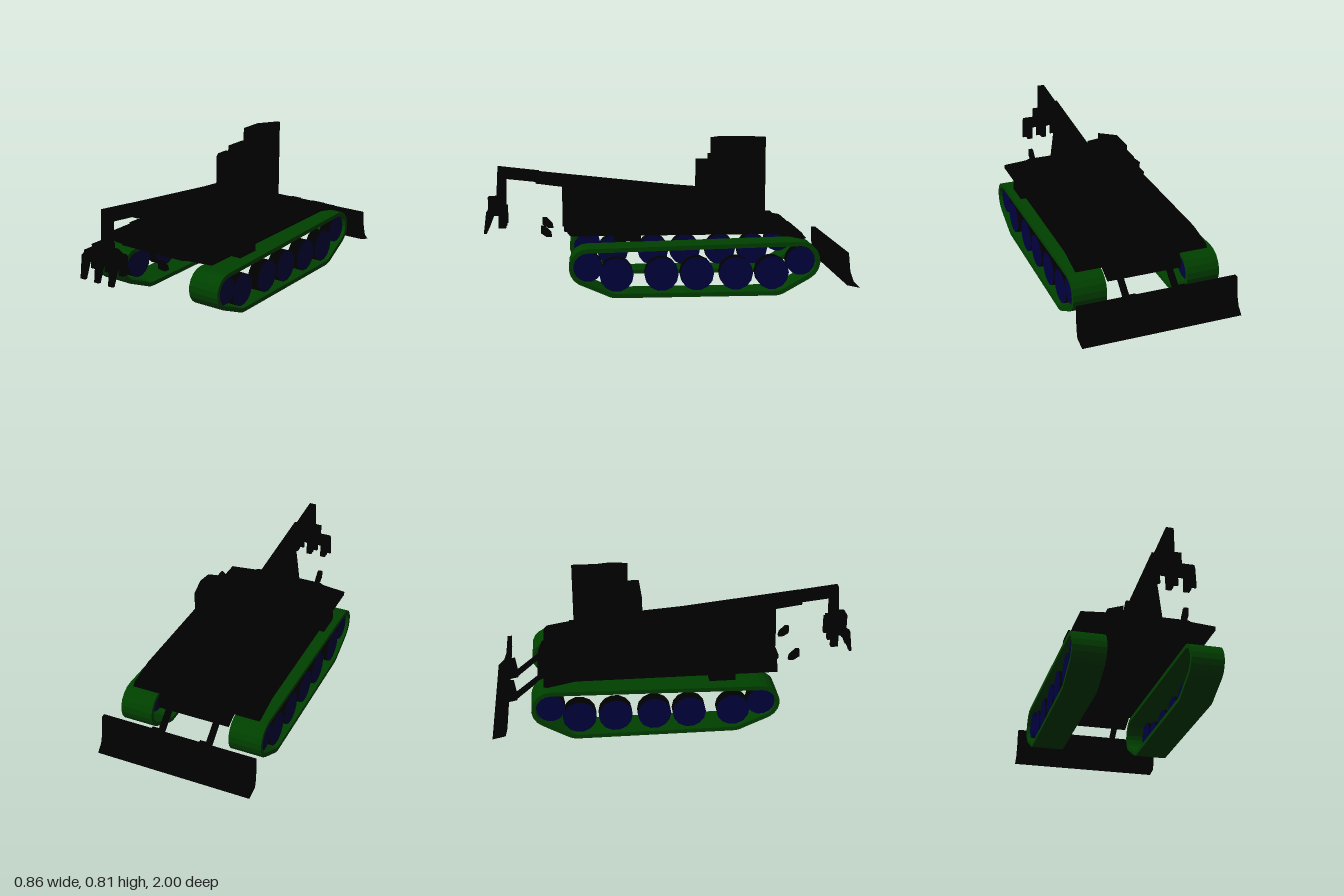
import * as THREE from 'three';

const mat = (name, color) => {
  const m = new THREE.MeshStandardMaterial({ color });
  m.name = name;
  m.flatShading = true;
  return m;
};

export function createModel() {
  const root = new THREE.Group();
  const black = mat('black body', 0x000000);
  const green = mat('green track', 0x004000);
  const blue = mat('blue wheel', 0x000040);

  const add = (name, geo, m = black) => {
    const mesh = new THREE.Mesh(geo, m);
    mesh.name = name;
    root.add(mesh);
    return mesh;
  };
  const box = (name, x0, x1, y0, y1, z0, z1) =>
    add(name, new THREE.BoxGeometry(x1 - x0, y1 - y0, z1 - z0)
      .translate((x0 + x1) / 2, (y0 + y1) / 2, (z0 + z1) / 2));
  const toShape = pts => new THREE.Shape(pts.map(p => new THREE.Vector2(...p)));
  // side profile given as (z, y), extruded across x0..x1
  const side = (shape, x0, x1) =>
    new THREE.ExtrudeGeometry(shape, { depth: x1 - x0, bevelEnabled: false })
      .translate(0, 0, -x1).rotateY(-Math.PI / 2);
  const profile = (name, pts, x0, x1) => add(name, side(toShape(pts), x0, x1));
  // plan outline given as (x, z), extruded upwards
  const plan = (name, pts, y0, y1) =>
    add(name, new THREE.ExtrudeGeometry(toShape(pts.map(([x, z]) => [x, -z])),
      { depth: y1 - y0, bevelEnabled: false }).rotateX(-Math.PI / 2).translate(0, y0, 0));
  // front outline given as (x, y), extruded along z0..z1
  const front = (name, pts, z0, z1) =>
    add(name, new THREE.ExtrudeGeometry(toShape(pts), { depth: z1 - z0, bevelEnabled: false }).translate(0, 0, z0));

  // tracks: closed belts around the wheels, inset for the inner edge
  const loop = t => {
    const pts = [];
    const arc = (z, y, r, a0, a1) => {
      for (let i = 0; i <= 8; i++) {
        const a = THREE.MathUtils.degToRad(a0 + (a1 - a0) * i / 8);
        pts.push(new THREE.Vector2(z + (r - t) * Math.cos(a), y + (r - t) * Math.sin(a)));
      }
    };
    arc(0.44, 0.163, 0.1, 90, -62);
    arc(0.29, 0.115, 0.115, -62, -90);
    arc(-0.545, 0.115, 0.115, -90, -118);
    arc(-0.685, 0.182, 0.105, -118, -270);
    return pts;
  };
  const belt = new THREE.Shape(loop(0));
  belt.holes.push(new THREE.Path(loop(0.023).reverse()));
  const wheels = [[0.44, 0.163, 0.077], [0.29, 0.12, 0.09], [0.053, 0.12, 0.09],
    [-0.135, 0.12, 0.09], [-0.343, 0.12, 0.09], [-0.535, 0.12, 0.09], [-0.687, 0.182, 0.077]];
  for (const s of [-1, 1]) {
    const x0 = s > 0 ? 0.22 : -0.4;
    add('track', side(belt, x0, x0 + 0.18), green);
    // blue discs with black rims
    for (const [z, y, r] of wheels)
      add('roadWheel', new THREE.CylinderGeometry(r, r, 0.065, 14)
        .rotateZ(Math.PI / 2).translate(s * 0.35, y, z), [black, blue, blue]);
  }

  // deck and sloping rear hull
  plan('deck', [[-0.36, 0.53], [-0.22, 0.55], [-0.2, 0.565], [0.2, 0.565], [0.22, 0.55],
    [0.36, 0.53], [0.36, -0.56], [-0.36, -0.56]], 0.325, 0.345);
  profile('rearDeck', [[-0.55, 0.345], [-0.55, 0.325], [-0.7, 0.295], [-0.72, 0.3], [-0.7, 0.32]], -0.36, 0.36);
  profile('rearHull', [[-0.54, 0.345], [-0.54, 0.325], [-0.66, 0.26], [-0.74, 0.225], [-0.755, 0.24], [-0.73, 0.3]], -0.2, 0.2);
  box('deckRidge', -0.15, 0.15, 0.34, 0.355, -0.6, 0.5);
  for (const s of [-1, 1]) {
    const pair = (name, a, b, ...r) => box(name, Math.min(s * a, s * b), Math.max(s * a, s * b), ...r);
    pair('sideBox', 0.24, 0.375, 0.297, 0.345, 0.16, 0.3);
    pair('rearHatch', 0.24, 0.33, 0.32, 0.345, -0.64, -0.6);
    pair('deckLug', 0.31, 0.33, 0.34, 0.362, -0.57, -0.54);
    pair('rearBracket', 0.11, 0.17, 0.29, 0.35, -0.63, -0.58);
    // hooks in front of the deck
    const h = s * 0.15;
    profile('frontHook', [[0.69, 0.35], [0.69, 0.31], [0.66, 0.29], [0.63, 0.29], [0.635, 0.315], [0.67, 0.35]], h - 0.012, h + 0.012);
    // arms carrying the blade
    const c = s * 0.135;
    profile('bladeArm', [[-0.7, 0.29], [-0.7, 0.265], [-0.88, 0.115], [-0.93, 0.13], [-0.93, 0.17], [-0.87, 0.155]], c - 0.015, c + 0.015);
    profile('bladeBracket', [[-0.87, 0.12], [-0.92, 0.11], [-0.93, 0.22], [-0.885, 0.22]], c - 0.025, c + 0.025);
  }

  // dozer blade with curved face
  profile('blade', [[-0.91, 0.23], [-0.912, 0.16], [-0.918, 0.1], [-0.93, 0.055], [-1, 0.04],
    [-0.965, 0.075], [-0.945, 0.13], [-0.935, 0.23]], -0.43, 0.43);

  // turning base and stepped tower, leaf shaped in plan with its tip at the back
  add('towerBase', new THREE.CylinderGeometry(0.18, 0.2, 0.02, 20).scale(1, 1, 1.35).translate(0, 0.35, -0.22));
  front('towerFront', [[-0.125, 0.34], [0.13, 0.34], [0.125, 0.685], [-0.11, 0.68], [-0.12, 0.66]], -0.25, -0.175);
  plan('towerRight', [[-0.143, -0.32], [-0.13, -0.23], [-0.085, -0.23], [-0.085, -0.38], [-0.12, -0.35]], 0.34, 0.65);
  plan('towerInnerRight', [[-0.085, -0.24], [-0.02, -0.24], [-0.02, -0.44], [-0.085, -0.375]], 0.34, 0.715);
  plan('towerPeak', [[-0.02, -0.3], [0.062, -0.24], [0.066, -0.545], [0.05, -0.545], [-0.02, -0.44]], 0.34, 0.815);
  plan('towerLeft', [[0.06, -0.25], [0.13, -0.265], [0.14, -0.34], [0.115, -0.46], [0.06, -0.545]], 0.34, 0.79);

  // boom: tapering wedge below a beam
  const wedge = profile('boomWedge', [[-0.2, 0.33], [0.575, 0.33], [0.575, 0.6], [-0.2, 0.53]], -0.05, 0.05).geometry;
  const p = wedge.attributes.position;
  for (let i = 0; i < p.count; i++) {
    const low = THREE.MathUtils.clamp((0.6 - p.getY(i)) / 0.27, 0, 1);
    const back = (0.575 - p.getZ(i)) / 0.775;
    p.setX(i, p.getX(i) * (0.5 + low * 0.7 + back * 0.3));
  }
  wedge.computeVertexNormals();
  profile('boomBeam', [[-0.18, 0.53], [-0.18, 0.46], [0.57, 0.545], [0.72, 0.565], [0.72, 0.628]], -0.035, 0.035);
  profile('boomTip', [[0.7, 0.632], [0.7, 0.57], [0.88, 0.59], [0.885, 0.4], [0.94, 0.4], [0.925, 0.658]], -0.02, 0.02);

  // grab at the boom tip
  box('grabBar', -0.108, 0.108, 0.4, 0.44, 0.89, 0.965);
  box('grabHead', -0.04, 0.04, 0.42, 0.49, 0.9, 0.98);
  for (const x of [-0.09, 0, 0.09]) {
    profile('frontTine', [[0.95, 0.44], [0.95, 0.39], [0.985, 0.3], [1, 0.3], [0.985, 0.42]], x - 0.015, x + 0.015);
    profile('rearTine', [[0.88, 0.43], [0.88, 0.33], [0.92, 0.33], [0.92, 0.43]], x - 0.015, x + 0.015);
  }
  return root;
}
